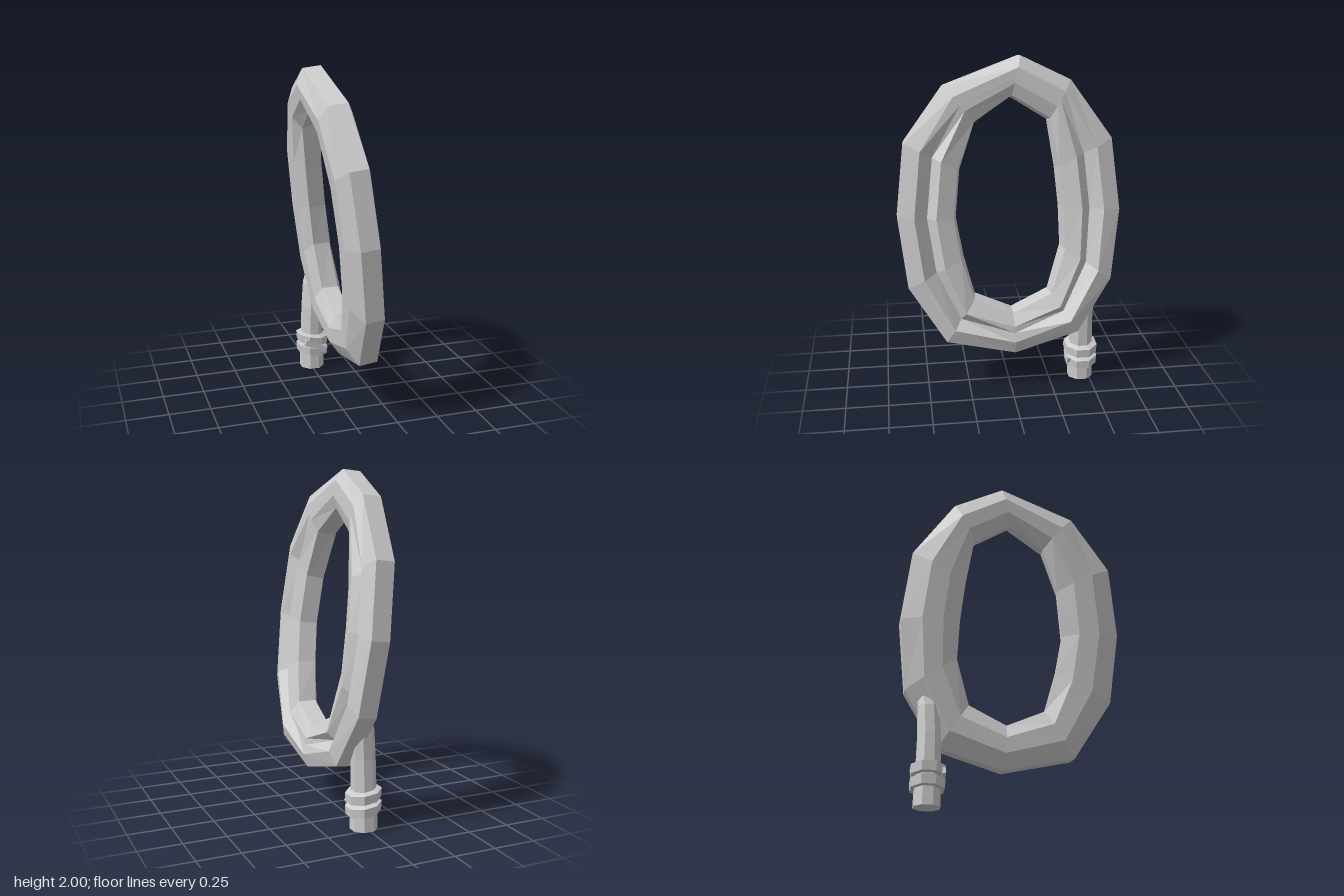
import * as THREE from 'three';

const material = new THREE.MeshStandardMaterial({ color: 0xcccccc, flatShading: true });

// Skin a list of closed cross-sections; optionally join the last to the first.
function loft(name, sections, closed = false) {
  const pos = [];
  const n = sections.length, m = sections[0].length;
  for (let i = 0; i < (closed ? n : n - 1); i++) {
    const a = sections[i], b = sections[(i + 1) % n];
    for (let j = 0; j < m; j++) {
      const k = (j + 1) % m;
      for (const p of [a[j], b[j], a[k], b[j], b[k], a[k]]) pos.push(...p);
    }
  }
  const geo = new THREE.BufferGeometry();
  geo.setAttribute('position', new THREE.Float32BufferAttribute(pos, 3));
  geo.computeVertexNormals();
  const mesh = new THREE.Mesh(geo, material);
  mesh.name = name;
  return mesh;
}

// Octagonal cross-section around (x, y, z), sheared along x by slope.
function octagon(x, y, z, r, slope = 0) {
  return Array.from({ length: 8 }, (_, i) => {
    const a = (i + 0.5) * Math.PI / 4;
    const dx = -Math.sin(a) * r;
    return [x + dx, y + dx * slope, z + Math.cos(a) * r];
  });
}

// Outer and inner outlines of the coil as [z, y], clockwise from the top.
const OUTER = [[-0.07, 1.995], [0.37, 1.835], [0.605, 1.52], [0.655, 1.1], [0.605, 0.68], [0.39, 0.34],
  [-0.02, 0.25], [-0.4, 0.36], [-0.6, 0.68], [-0.65, 1.1], [-0.6, 1.52], [-0.36, 1.855]];
const INNER = [[-0.02, 1.775], [0.2, 1.63], [0.3, 1.36], [0.33, 1.07], [0.29, 0.83], [0.22, 0.59],
  [-0.01, 0.495], [-0.24, 0.6], [-0.325, 0.87], [-0.32, 1.12], [-0.295, 1.36], [-0.24, 1.64]];
// Depth of the groove between the two strands at each section.
const GROOVE = [0, 0, 0.8, 1, 1, 0.9, 0.1, 0.9, 1, 1, 0.8, 0];

function coil() {
  const sections = OUTER.map(([oz, oy], i) => {
    const [iz, iy] = INNER[i], g = GROOVE[i];
    // [share of the way inward, offset along the coil's axis]
    const profile = [[0, -0.055], [0, 0.055], [0.3, 0.088], [0.53, 0.085 - 0.055 * g],
      [0.69, 0.082], [1, 0.05], [1.06, -0.055], [0.75, -0.1], [0.38, -0.105]];
    return profile.map(([t, v]) => {
      const z = oz + (iz - oz) * t, y = oy + (iy - oy) * t;
      return [0.015 - 0.118 * (y - 1.1) + 0.993 * v, y + 0.118 * v, z];
    });
  });
  return loft('coil', sections, true);
}

export function createModel() {
  const group = new THREE.Group();
  group.add(coil());

  // Straight tail that rises and merges into the coil
  const tail = [[0.01, 0, -0.45, 0], [0.01, 0, -0.45, 0.08], [0.01, 0.2, -0.45, 0.073],
    [0.015, 0.42, -0.45, 0.07], [0.025, 0.58, -0.46, 0.066], [0.06, 0.74, -0.5, 0.04], [0.06, 0.74, -0.5, 0]];
  group.add(loft('tail', tail.map((s) => octagon(...s))));

  // Two slanted binding turns around the tail
  for (const y of [0.203, 0.128]) {
    const rings = [[-0.035, 0.065], [-0.03, 0.1], [0.022, 0.104], [0.036, 0.065]];
    group.add(loft('binding', rings.map(([dy, r]) => octagon(0.012, y + dy, -0.45, r, -0.14))));
  }

  // Crossover joining the binding turns
  const link = new THREE.Mesh(new THREE.BoxGeometry(0.15, 0.04, 0.02), material);
  link.name = 'bindingCrossover';
  link.position.set(0.012, 0.165, -0.366);
  link.rotation.z = -0.42;
  group.add(link);

  return group;
}
